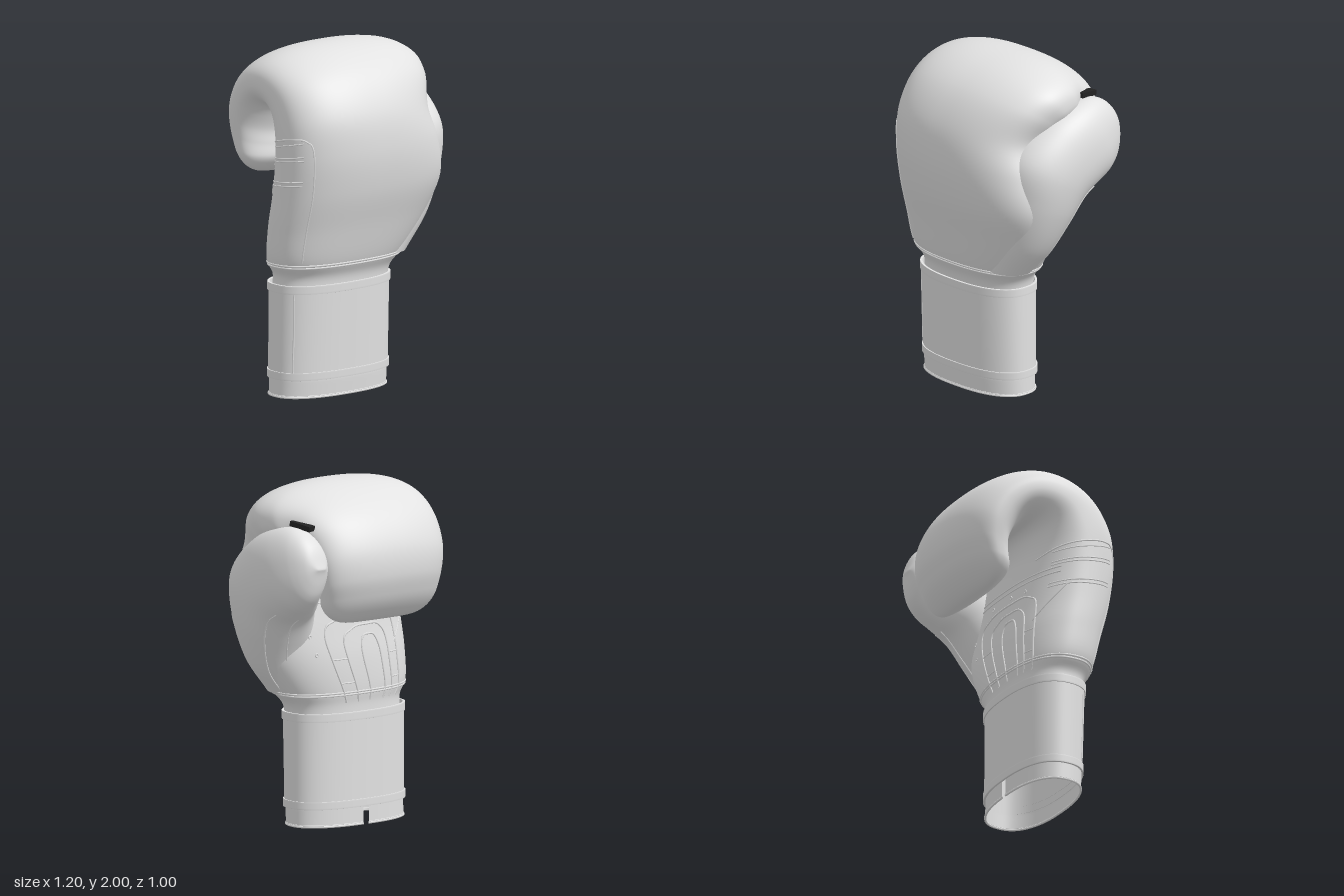
import * as THREE from 'three';

const leather = new THREE.MeshStandardMaterial({ color: 0xe2e2e2, side: THREE.DoubleSide });
leather.name = 'light grey leather';
const black = new THREE.MeshStandardMaterial({ color: 0x222222 });
black.name = 'black webbing';

// Surface through oval sections. Each row: outer z, outer y, inner z, inner y, min x, max x.
function makeSurface(rows, { n = 2.4, cap = 0, capPower = 0.5, straight = false } = {}) {
  const type = straight ? 'catmullrom' : 'centripetal';
  const outer = new THREE.CatmullRomCurve3(rows.map(r => new THREE.Vector3(r[4], r[1], r[0])), false, type, 0);
  const inner = new THREE.CatmullRomCurve3(rows.map(r => new THREE.Vector3(r[5], r[3], r[2])), false, type, 0);
  return (u, t) => {
    const a = outer.getPoint(u), b = inner.getPoint(u);
    let s = 1;
    if (cap && u > 1 - cap) s = Math.sqrt(Math.max(0, 1 - ((u - 1 + cap) / cap) ** 2));
    const bend = v => Math.sign(v) * Math.abs(v) ** (2 / n);
    const c = bend(Math.cos(t)) * s ** capPower, d = bend(Math.sin(t)) * s;
    return new THREE.Vector3(
      (a.x + b.x) / 2 + (b.x - a.x) / 2 * c,
      (a.y + b.y) / 2 + (a.y - b.y) / 2 * d,
      (a.z + b.z) / 2 + (a.z - b.z) / 2 * d);
  };
}

// Mesh of a surface, closed around unless an arc is given
function loft(name, surface, nu, nv, arc = null) {
  const pos = [], idx = [], cols = arc ? nv + 1 : nv;
  const [t0, t1] = arc ?? [0, Math.PI * 2];
  for (let i = 0; i <= nu; i++) {
    const u = 1 - (1 - i / nu) ** 1.4;
    for (let j = 0; j < cols; j++) pos.push(...surface(u, t0 + (t1 - t0) * j / nv).toArray());
  }
  for (let i = 0; i < nu; i++) for (let j = 0; j < nv; j++) {
    const a = i * cols + j, b = i * cols + (j + 1) % cols, c = a + cols, d = b + cols;
    idx.push(a, c, b, b, c, d);
  }
  const g = new THREE.BufferGeometry();
  g.setAttribute('position', new THREE.Float32BufferAttribute(pos, 3));
  g.setIndex(idx);
  g.computeVertexNormals();
  const m = new THREE.Mesh(g, leather);
  m.name = name;
  return m;
}

// Raised stitching that follows (u, t) points on a surface
function seam(name, surface, pts, radius = 0.005) {
  const path = new THREE.CatmullRomCurve3(pts.map(p => new THREE.Vector3(p[0], p[1], 0)));
  const line = path.getPoints(50).map(p => surface(p.x, p.y));
  const m = new THREE.Mesh(new THREE.TubeGeometry(new THREE.CatmullRomCurve3(line), 100, radius, 6), leather);
  m.name = name;
  return m;
}

function ring(name, surface, u, radius = 0.005) {
  const line = [];
  for (let i = 0; i < 72; i++) line.push(surface(u, i / 72 * Math.PI * 2));
  const m = new THREE.Mesh(new THREE.TubeGeometry(new THREE.CatmullRomCurve3(line, true), 140, radius, 6, true), leather);
  m.name = name;
  return m;
}

export function createModel() {
  const glove = new THREE.Group();
  glove.name = 'boxingGlove';

  // Padded hand: rises from the wrist and curls over to the fingertips
  const hand = makeSurface([
    [0.29, 0.60, -0.11, 0.60, -0.54, 0.20],
    [0.30, 0.70, -0.11, 0.70, -0.535, 0.22],
    [0.345, 0.79, -0.12, 0.78, -0.585, 0.29],
    [0.41, 1.00, -0.115, 0.97, -0.60, 0.415],
    [0.475, 1.22, -0.09, 1.15, -0.60, 0.49],
    [0.50, 1.45, -0.06, 1.36, -0.60, 0.45],
    [0.47, 1.66, -0.05, 1.50, -0.60, 0.39],
    [0.36, 1.85, -0.07, 1.58, -0.595, 0.445],
    [0.20, 1.96, -0.10, 1.61, -0.59, 0.475],
    [0.00, 2.00, -0.13, 1.61, -0.58, 0.46],
    [-0.20, 1.955, -0.16, 1.59, -0.565, 0.395],
    [-0.38, 1.83, -0.18, 1.54, -0.545, 0.36],
    [-0.48, 1.66, -0.20, 1.46, -0.525, 0.34],
    [-0.495, 1.50, -0.19, 1.39, -0.505, 0.325],
    [-0.455, 1.36, -0.18, 1.31, -0.49, 0.30],
    [-0.40, 1.22, -0.21, 1.215, -0.47, 0.28],
  ], { cap: 0.08, capPower: 0.35 });
  const h = (row, t) => [row / 15, t];
  glove.add(loft('paddedHand', hand, 130, 96));

  // Thumb: grows out of the side of the padding and bends back beside the fingers
  const thumb = makeSurface([
    [0.30, 0.78, 0.03, 0.76, -0.02, 0.285],
    [0.33, 1.00, 0.01, 0.90, 0.03, 0.435],
    [0.35, 1.27, -0.07, 1.08, 0.06, 0.54],
    [0.32, 1.51, -0.15, 1.21, 0.12, 0.585],
    [0.13, 1.69, -0.23, 1.27, 0.18, 0.595],
    [-0.07, 1.77, -0.30, 1.32, 0.25, 0.585],
    [-0.24, 1.78, -0.36, 1.38, 0.30, 0.55],
    [-0.36, 1.71, -0.40, 1.46, 0.325, 0.50],
    [-0.42, 1.60, -0.42, 1.54, 0.35, 0.45],
  ], { n: 2.2, cap: 0.2 });
  glove.add(loft('thumb', thumb, 80, 64));

  // Wrist strap with raised bindings at both edges
  const strapRows = (y0, y1, e) => [y0, y1].map(y => {
    const k = (y - 0.11) / 0.55;
    return [0.28 + 0.02 * k + e, y, -0.12 - 0.002 * k - e, y, -0.559 - e, 0.219 + e];
  });
  const strap = makeSurface(strapRows(0.12, 0.65, 0), { straight: true });
  glove.add(loft('wristStrap', strap, 12, 96));
  [[0.11, 0.155], [0.612, 0.66]].forEach(([y0, y1], i) => {
    const [a, b] = strapRows(y0, y1, 0.007), [c, d] = strapRows(y0, y1, -0.006);
    const binding = makeSurface([c, a, b, d], { straight: true });
    glove.add(loft(i ? 'upperBinding' : 'lowerBinding', binding, 15, 96));
  });
  glove.add(seam('strapEnd', strap, [
    [0.92, 2.3], [0.915, 2.5], [0.87, 2.62], [0.5, 2.63], [0.13, 2.62], [0.085, 2.5], [0.08, 2.3],
  ]));

  // Open wrist lining with a slit on the palm side
  const lining = makeSurface([
    [0.27, 0.01, -0.115, 0.01, -0.555, 0.212],
    [0.277, 0.10, -0.115, 0.10, -0.553, 0.212],
    [0.285, 0.62, -0.115, 0.62, -0.545, 0.205],
  ], { straight: true });
  const slit = [-Math.PI / 2 + 0.03, Math.PI * 1.5 - 0.03];
  glove.add(loft('wristLining', lining, 12, 96, slit));
  [[0.004, 0.007], [0.09, 0.003]].forEach(([u, r]) => {
    const arc = Array.from({ length: 25 }, (_, i) => [u, slit[0] + (slit[1] - slit[0]) * i / 24]);
    glove.add(seam('liningHem', lining, arc, r));
  });

  // Stitching around the foot of the padding
  [1.8, 1.95].forEach(r => glove.add(ring('neckSeam', hand, r / 15, 0.006)));

  // Panel on the outer side, with short cross seams
  glove.add(seam('sidePanelSeam', hand, [
    h(2.1, 2.5), h(3, 2.52), h(4.4, 2.54), h(5.2, 2.56), h(5.5, 2.68), h(5.6, 2.9),
    h(5.65, 3.3), h(5.6, 3.8), h(5.4, 4.2),
  ]));
  [4.3, 4.4, 4.95, 5.05, 5.45].forEach(r =>
    glove.add(seam('sideCrossSeam', hand, [h(r, 2.74), h(r, 3.0), h(r, 3.5), h(r, 3.9)], 0.004)));

  // Palm: nested arches around the opening, joined by cross seams
  const mid = Math.PI * 1.5 - 0.2;
  [[0.12, 3.7], [0.26, 4.0], [0.45, 4.3]].forEach(([w, top]) => {
    glove.add(seam('palmArchSeam', hand, [
      h(1.2, mid - w), h(2.2, mid - w), h(top - 0.5, mid - w), h(top - 0.1, mid - w * 0.7),
      h(top, mid), h(top - 0.1, mid + w * 0.7), h(top - 0.5, mid + w), h(2.2, mid + w), h(1.2, mid + w),
    ], 0.006));
  });
  for (const side of [-1, 1]) for (const r of [2.3, 3.0])
    glove.add(seam('palmCrossSeam', hand, [h(r, mid + side * 0.26), h(r, mid + side * 0.35), h(r, mid + side * 0.45)], 0.004));
  glove.add(seam('palmSlantSeam', hand, [h(4.3, 3.55), h(3.8, 3.85), h(3.3, 4.1)]));
  [4.7, 4.85].forEach(r => glove.add(seam('palmTopSeam', hand, [h(r, 3.7), h(r, 4.2), h(r, 4.8), h(r, 5.3)])));

  // Seams along the underside of the thumb
  [-0.7, -1.3].forEach(t =>
    glove.add(seam('thumbSeam', thumb, [[0.02, t + 0.1], [0.15, t], [0.3, t - 0.05], [0.45, t - 0.2]])));

  // Small vent eyelets in the palm
  [[4.45, 4.3], [4.5, 4.55], [4.5, 4.8], [3.8, 5.15], [3.2, 5.15]].forEach(([r, t]) => {
    const vent = new THREE.Mesh(new THREE.TorusGeometry(0.009, 0.004, 6, 14), leather);
    vent.position.copy(hand(r / 15, t));
    vent.name = 'ventEyelet';
    glove.add(vent);
  });

  // Webbing that ties the thumb to the fingers
  const tie = new THREE.Mesh(new THREE.BoxGeometry(0.05, 0.03, 0.142), black);
  tie.position.set(0.384, 1.795, -0.222);
  tie.rotation.set(-0.16, 0.22, 0);
  tie.name = 'thumbTie';
  glove.add(tie);

  return glove;
}
